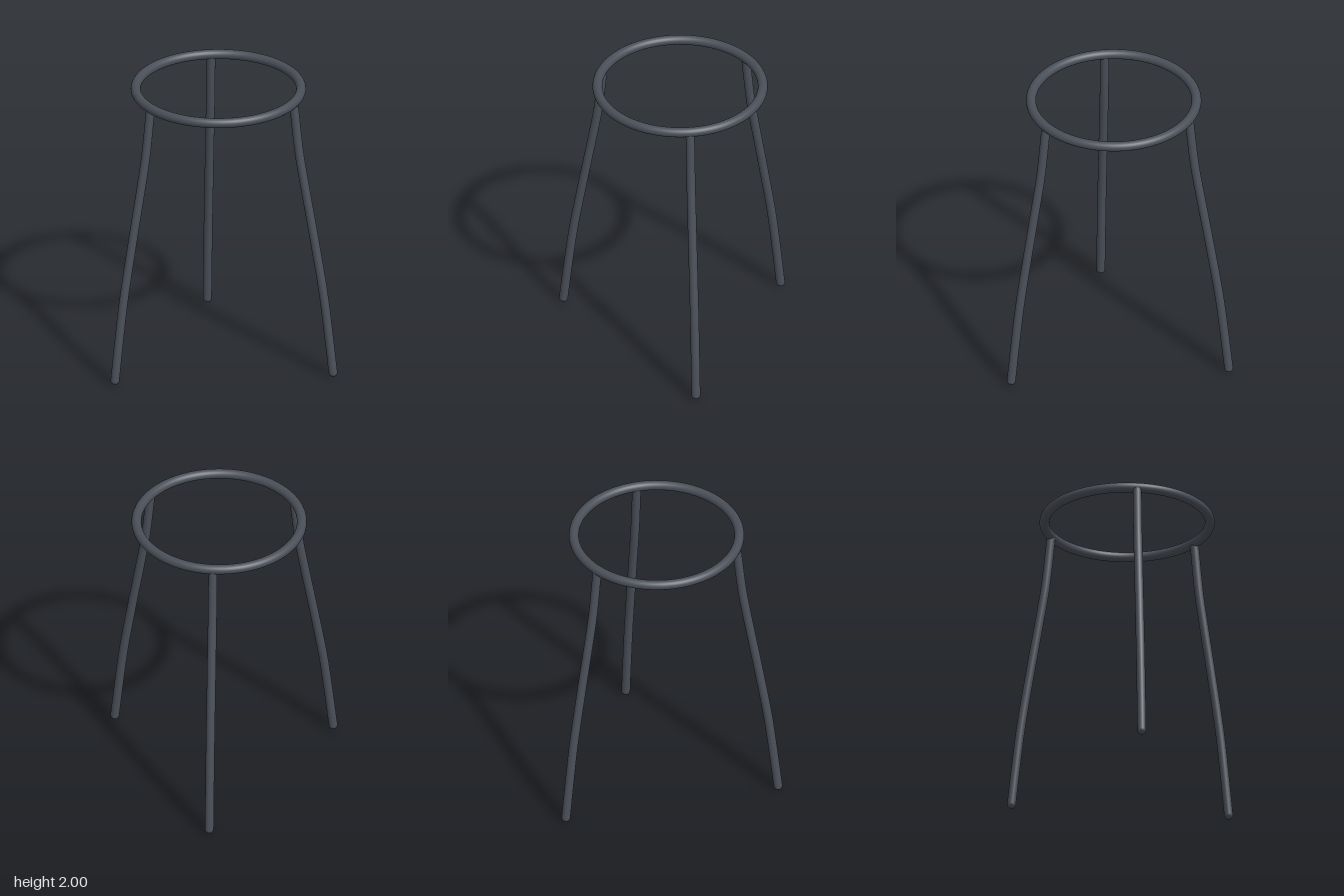
import * as THREE from 'three';

const LEG_R = 0.03;
const TOP_Y = 1.95;

// Shared leg curve: [height, share of the way from top to foot]
const PROFILE = [[TOP_Y, 0], [1.6, 0.14], [1.4, 0.26], [1.0, 0.515], [0.6, 0.755], [0.3, 0.89], [LEG_R, 1]];

function makeLeg(name, [topX, topZ], [footX, footZ], material) {
  const leg = new THREE.Group();
  leg.name = name;
  const path = new THREE.CatmullRomCurve3(PROFILE.map(([y, t]) => new THREE.Vector3(
    THREE.MathUtils.lerp(topX, footX, t), y, THREE.MathUtils.lerp(topZ, footZ, t))));
  const rod = new THREE.Mesh(new THREE.TubeGeometry(path, 48, LEG_R, 20), material);
  rod.name = 'legRod';
  // Rounded foot closing the lower end
  const foot = new THREE.Mesh(new THREE.SphereGeometry(LEG_R, 20, 14), material);
  foot.name = 'legFoot';
  foot.position.set(footX, LEG_R, footZ);
  leg.add(rod, foot);
  return leg;
}

export function createModel() {
  const model = new THREE.Group();
  model.name = 'tripodStand';
  const metal = new THREE.MeshStandardMaterial({ color: 0x4a4f58 });

  // Horizontal support ring
  const ring = new THREE.Mesh(new THREE.TorusGeometry(0.557, 0.033, 24, 96), metal);
  ring.name = 'supportRing';
  ring.rotation.x = Math.PI / 2;
  ring.position.set(-0.012, 1.967, 0.14);
  model.add(ring);

  // Three splayed legs: plan positions [x, z] of top and foot
  model.add(
    makeLeg('backLeg', [-0.026, -0.417], [-0.032, -0.708], metal),
    makeLeg('frontLeftLeg', [0.48, 0.412], [0.735, 0.548], metal),
    makeLeg('frontRightLeg', [-0.49, 0.435], [-0.738, 0.583], metal),
  );
  return model;
}
